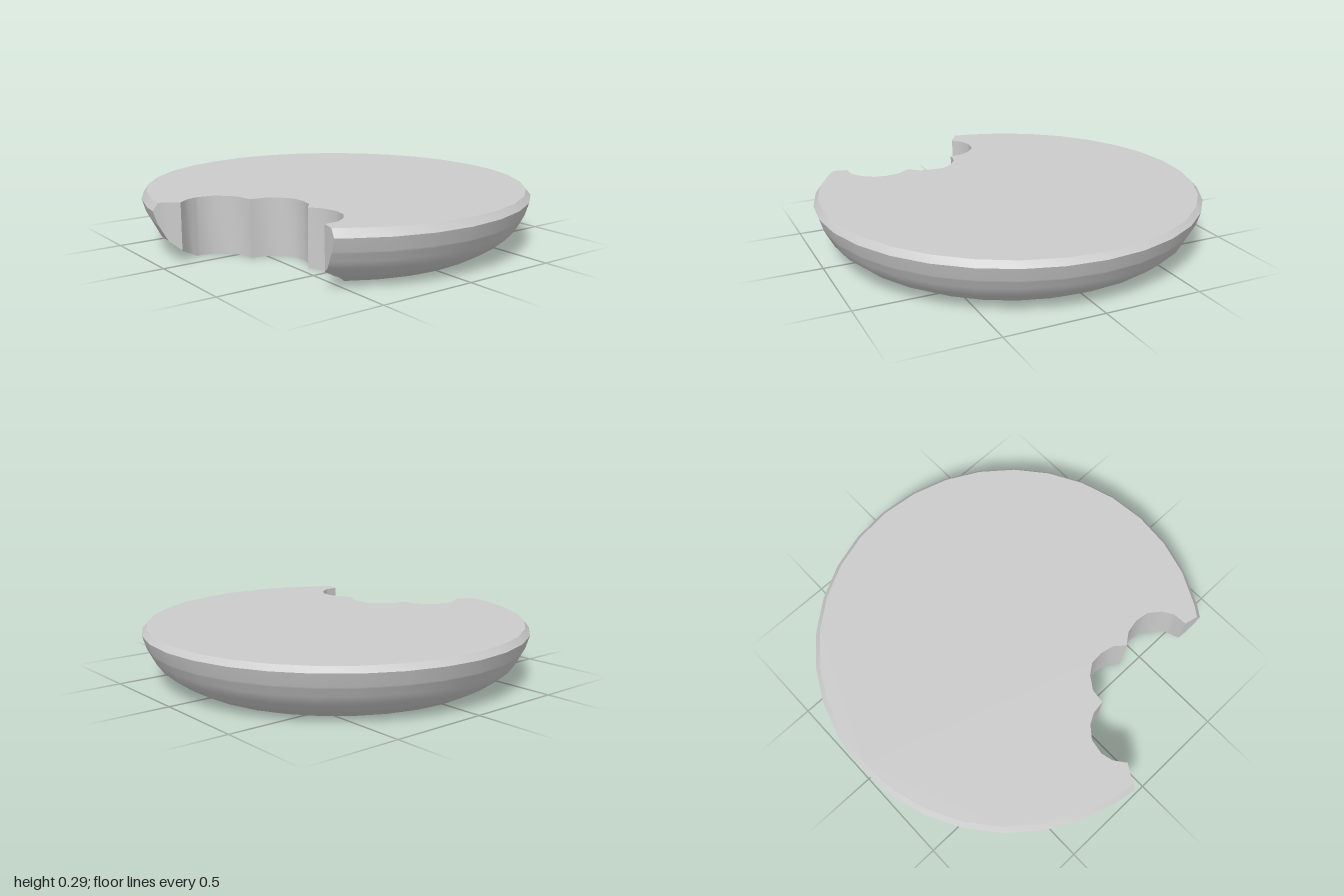
import * as THREE from 'three';
import { toCreasedNormals } from 'three/addons/utils/BufferGeometryUtils.js';

// side profile [radius, height] from the flat base up to the rim
const PROFILE = [[0.78, 0], [0.87, 0.05], [0.935, 0.105], [0.98, 0.19], [1, 0.255]];
const BASE_R = 0.78, TOP_R = 0.975, RIM_Y = 0.255;

// scalloped bite edge seen from above [x, z], back end to front end
const BITE = [
  [-1.01, -0.105], [-0.95, -0.085], [-0.88, -0.04], [-0.82, -0.085], [-0.76, -0.1], [-0.68, -0.085],
  [-0.62, -0.035], [-0.59, 0.02], [-0.58, 0.09], [-0.505, 0.1], [-0.44, 0.145], [-0.4, 0.2],
  [-0.395, 0.27], [-0.41, 0.34], [-0.455, 0.395], [-0.41, 0.455], [-0.395, 0.53], [-0.405, 0.6],
  [-0.45, 0.66], [-0.505, 0.695], [-0.58, 0.7], [-0.606, 0.81],
];
const BITE_BACKWARDS = [...BITE].reverse();
const radius = ([x, z]) => Math.hypot(x, z);

// slightly tilted top face
const topY = (x, z) => 0.288 - 0.006 * x + 0.003 * z;

function lowY(r) {
  if (r <= BASE_R) return 0;
  for (let i = 1; i < PROFILE.length; i++) {
    const [r0, y0] = PROFILE[i - 1], [r1, y1] = PROFILE[i];
    if (r <= r1) return y0 + (y1 - y0) * (r - r0) / (r1 - r0);
  }
  return RIM_Y;
}

function highY(x, z, r) {
  const t = THREE.MathUtils.clamp((r - TOP_R) / (1 - TOP_R), 0, 1);
  return topY(x, z) * (1 - t) + RIM_Y * t;
}

// point where a bite path, walked inwards, meets the circle of radius r
function crossing(path, r) {
  const i = path.findIndex((p) => radius(p) <= r);
  const a = path[i - 1], b = path[i];
  let lo = 0, hi = 1;
  const at = (t) => [a[0] + (b[0] - a[0]) * t, a[1] + (b[1] - a[1]) * t];
  for (let k = 0; k < 30; k++) {
    const mid = (lo + hi) / 2;
    if (radius(at(mid)) > r) lo = mid; else hi = mid;
  }
  return at(hi);
}

// 32-sided round edge from the back of the bite round to its front
function arc(r) {
  const pts = [crossing(BITE, r)];
  for (let k = 17; k <= 43; k++) {
    pts.push([r * Math.cos(k * Math.PI / 16), r * Math.sin(k * Math.PI / 16)]);
  }
  pts.push(crossing(BITE_BACKWARDS, r));
  return pts;
}

// skin rows of equal length, lowest row first
function loft(rows) {
  const n = rows[0].length, index = [];
  for (let j = 0; j < rows.length - 1; j++) {
    for (let i = 0; i < n - 1; i++) {
      const a = j * n + i, b = a + 1;
      index.push(a, a + n, b + n, a, b + n, b);
    }
  }
  const geo = new THREE.BufferGeometry();
  geo.setAttribute('position', new THREE.Float32BufferAttribute(rows.flat(2), 3));
  geo.setIndex(index);
  geo.computeVertexNormals();
  return geo;
}

// flat face bounded by the round edge and the bite
function cap(r, up) {
  const outline = [...arc(r), ...BITE_BACKWARDS.filter((p) => radius(p) < r)];
  const s = up ? -1 : 1;
  const shape = new THREE.Shape(outline.map(([x, z]) => new THREE.Vector2(x, s * z)));
  return new THREE.ShapeGeometry(shape).rotateX(s * Math.PI / 2);
}

export function createModel() {
  const group = new THREE.Group();
  const material = new THREE.MeshStandardMaterial({ color: 0xcccccc });
  const add = (name, geo) => {
    const mesh = new THREE.Mesh(geo, material);
    mesh.name = name;
    group.add(mesh);
  };

  // radii at which the side and the bite wall share points
  const levels = [...PROFILE.map((p) => p[0]), TOP_R, ...BITE.map(radius)]
    .filter((r) => r >= BASE_R && r <= 1).sort((a, b) => a - b);

  // rounded underside
  add('roundedSide', loft(levels.map((r) => arc(r).map(([x, z]) => [x, lowY(r), z]))));

  // narrow bevel round the top
  add('rimBevel', loft([1, TOP_R].map((r) =>
    arc(r).map(([x, z]) => [x, highY(x, z, r), z]))));

  // base and top faces
  add('base', cap(BASE_R, false));
  const top = cap(TOP_R, true);
  const pos = top.attributes.position;
  for (let i = 0; i < pos.count; i++) pos.setY(i, topY(pos.getX(i), pos.getZ(i)));
  top.computeVertexNormals();
  add('topFace', top);

  // upright wall of the bite
  const wall = [
    ...[...levels].reverse().map((r) => crossing(BITE_BACKWARDS, r)),
    ...BITE_BACKWARDS.filter((p) => radius(p) < BASE_R),
    ...levels.map((r) => crossing(BITE, r)),
  ];
  const wallGeo = loft([
    wall.map(([x, z]) => [x, lowY(Math.hypot(x, z)), z]),
    wall.map(([x, z]) => [x, highY(x, z, Math.hypot(x, z)), z]),
  ]);
  add('biteWall', toCreasedNormals(wallGeo, 0.8));

  return group;
}
